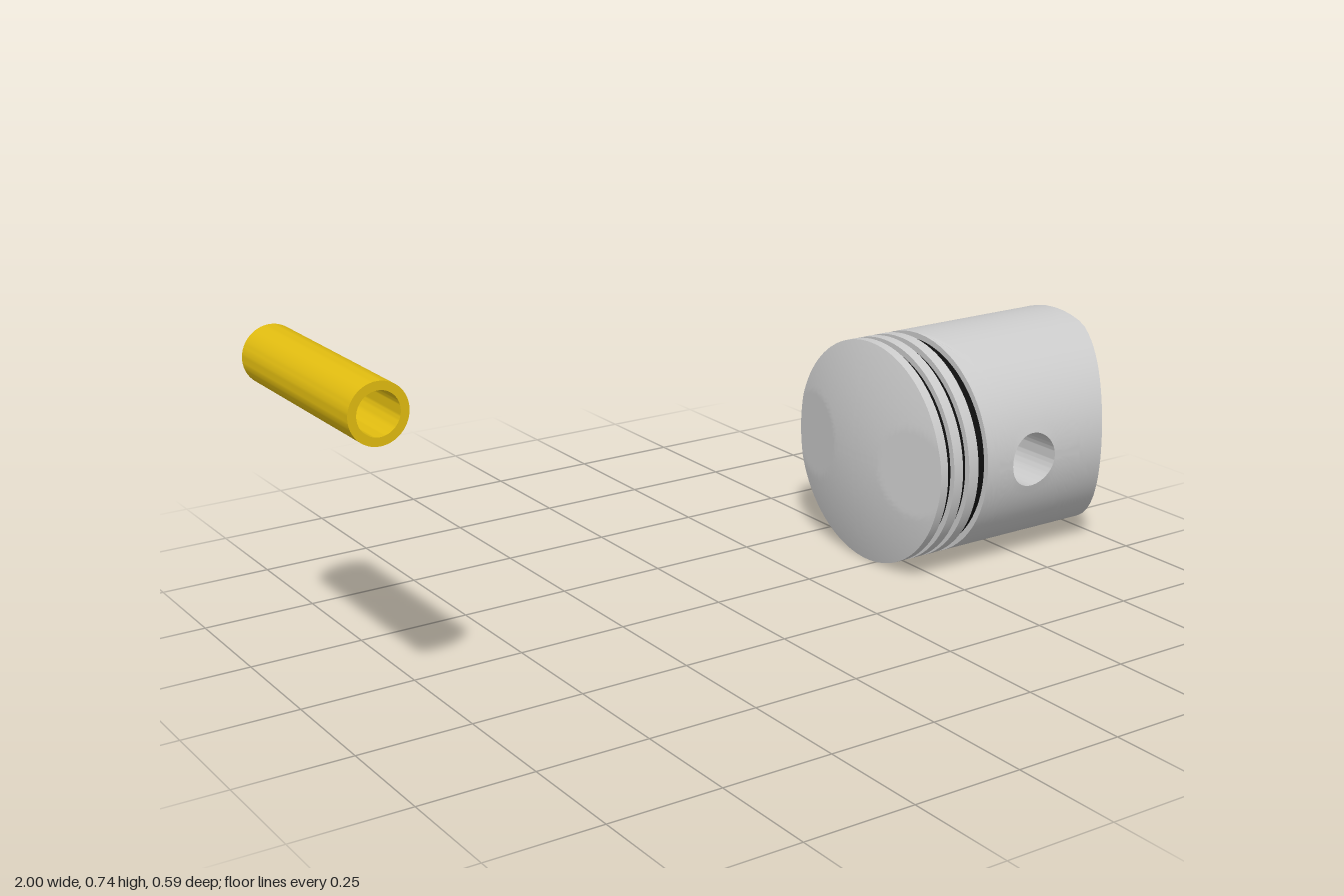
import * as THREE from 'three';
import { toCreasedNormals, mergeGeometries } from 'three/addons/utils/BufferGeometryUtils.js';

const R = 0.262, RI = 0.234, RG = 0.248;      // outer wall, inner wall, groove floor
const CY = 0.262, CZ = -0.034;                // piston axis
const X0 = 0.576, XP = 0.714;                 // skirt start, pin axis
const BORE = 0.063, BOSS = 0.088, FILLET = 0.041;

const grey = new THREE.MeshStandardMaterial({ color: 0xcccccc });
const black = new THREE.MeshStandardMaterial({ color: 0x0d0d0d });
const gold = new THREE.MeshStandardMaterial({ color: 0xe2bd10 });

// Skin a list of cross-sections (arrays of [x, y, z]) with triangles
function skin(rows, flip) {
  const n = rows[0].length, index = [];
  for (let i = 0; i < rows.length - 1; i++) {
    for (let j = 0; j < n - 1; j++) {
      const a = i * n + j, b = a + n, c = b + 1, d = a + 1;
      if (flip) index.push(a, c, b, a, d, c);
      else index.push(a, b, c, a, c, d);
    }
  }
  const g = new THREE.BufferGeometry();
  g.setAttribute('position', new THREE.Float32BufferAttribute(rows.flat(2), 3));
  g.setIndex(index);
  return g;
}

// Sweep a profile around the x axis; profile(phi) gives [x, radius] points
function revolve(profile, segments = 96) {
  const rows = [];
  for (let i = 0; i <= segments; i++) {
    const p = ((i % segments) / segments) * Math.PI * 2;
    rows.push(profile(p).map(([x, r]) => [x, r * Math.sin(p), r * Math.cos(p)]));
  }
  return skin(rows, true);
}

// Skirt edge: scooped by a large cylinder running along z
const rim = (dy) => Math.min(1, 0.9225 + 0.42 - Math.sqrt(0.42 ** 2 - dy * dy));

// One half of the skirt: outer wall, pin bore, boss, fillet and inner wall in one closed loop
function skirtHalf(side) {
  const K = 40, M = 16, rows = [];
  for (let i = 0; i <= 4 * K; i++) {
    const q = Math.floor(i / K) % 4, a = ((i % K) / K - 0.5) * Math.PI / 2;
    const phi = q * Math.PI / 2 + a, t = Math.tan(a);
    const [v, u] = [[1, t], [-t, 1], [-1, -t], [t, -1]][q];
    const c = Math.cos(phi), s = Math.sin(phi);

    // Point on a wall of radius rad, from the round hole (k = 0) to the wall's border (k = 1)
    const wall = (rad, hole, k) => {
      const thEdge = u * Math.PI / 2;
      const xEdge = v < 0 ? XP + v * (XP - X0) : XP + v * (rim(rad * Math.sin(thEdge)) - XP);
      const th = THREE.MathUtils.lerp(Math.asin(hole * s / rad), thEdge, k);
      const x = THREE.MathUtils.lerp(XP + hole * c, xEdge, k);
      return [x, rad * Math.sin(th), side * rad * Math.cos(th)];
    };
    const ring = (r, dz) => [XP + r * c, r * s, side * dz];

    const row = [];
    for (let j = M; j >= 0; j--) row.push(wall(R, BORE, j / M));
    row.push(ring(BORE, 0.0515), ring(BOSS, 0.0515));
    for (let j = 0; j < 8; j++) {
      const f = j / 8 * Math.PI / 2, r = BOSS + FILLET * (1 - Math.cos(f));
      const dz = Math.sqrt(RI * RI - ((BOSS + FILLET) * s) ** 2);
      row.push(ring(r, 0.144 + (dz - 0.144) * Math.sin(f)));
    }
    for (let j = 0; j <= M; j++) row.push(wall(RI, BOSS + FILLET, j / M));
    row.push(row[0]);
    rows.push(row);
  }
  return skin(rows, side < 0);
}

// Domed crown with a shallow flat relief on each side, plus the top land
function crown() {
  const N = 40;
  return revolve((p) => {
    const pts = [];
    for (let j = 0; j <= N; j++) {
      const r = R * j / N, dz = Math.abs(r * Math.cos(p));
      const dome = 0.4 + 0.553 * r * r;
      const relief = 0.4035 + 0.202 * (dz - 0.08);
      pts.push([Math.max(dome, relief), r]);
    }
    pts.push([0.46, R], [0.46, RG]);
    return pts;
  }, 128);
}

function add(parent, name, geometry, material, crease = 0.6) {
  const mesh = new THREE.Mesh(toCreasedNormals(geometry, crease), material);
  mesh.name = name;
  parent.add(mesh);
  return mesh;
}

export function createModel() {
  const model = new THREE.Group();
  model.name = 'pistonAndPin';

  const piston = new THREE.Group();
  piston.name = 'piston';
  piston.position.set(0, CY, CZ);
  model.add(piston);

  add(piston, 'crown', crown(), grey);
  // Lands between the ring grooves
  [[0.478, 0.503], [0.521, 0.548]].forEach(([a, b], i) => {
    add(piston, 'ringLand' + (i + 1), revolve(() => [[a, RG], [a, R], [b, R], [b, RG]]), grey);
  });
  add(piston, 'skirt', mergeGeometries([skirtHalf(1), skirtHalf(-1)]), grey);

  // Dark core: groove floors and the underside of the crown
  const core = new THREE.CylinderGeometry(RG, RG, X0 - 0.46, 96).rotateZ(-Math.PI / 2);
  add(piston, 'ringCore', core, black).position.x = (X0 + 0.46) / 2;

  // Hollow wrist pin
  const ro = 0.0615, ri = 0.044, h = 0.239;
  const profile = [[ro, -h], [ro, h], [ri, h], [ri, -h], [ro, -h]].map((p) => new THREE.Vector2(...p));
  const pin = add(model, 'wristPin', new THREE.LatheGeometry(profile, 64).rotateX(Math.PI / 2), gold);
  pin.position.set(-0.9385, 0.678, 0.058);
  return model;
}
